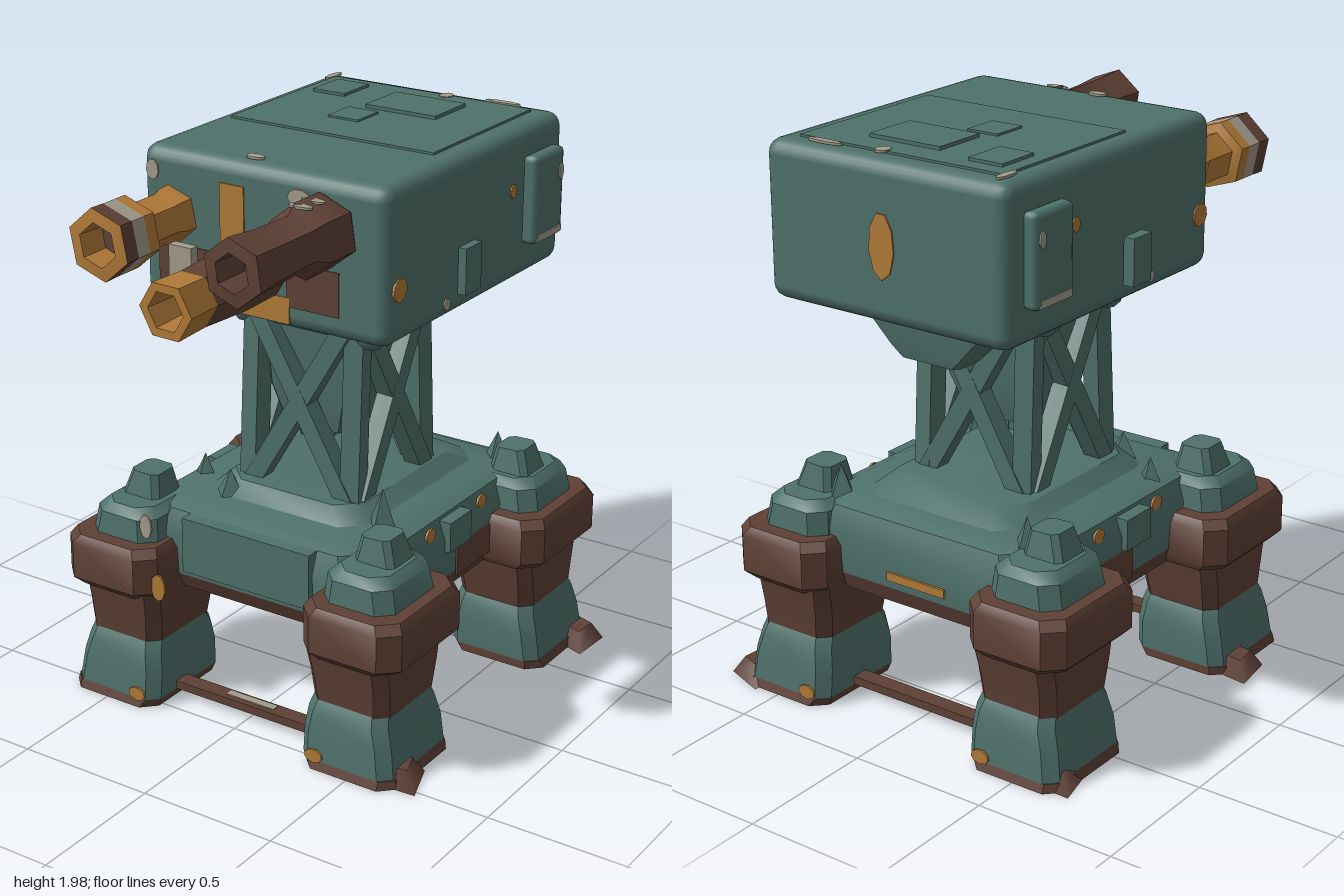
import * as THREE from 'three';
import { toCreasedNormals } from 'three/addons/utils/BufferGeometryUtils.js';
import { RoundedBoxGeometry } from 'three/addons/geometries/RoundedBoxGeometry.js';

const colour = (name, hex) => Object.assign(new THREE.MeshStandardMaterial({ color: hex }), { name });

export function createModel() {
  const root = new THREE.Group();
  root.name = 'walkerTurret';
  const teal = colour('tealPaint', 0x4f716b);
  const brown = colour('rustBrown', 0x5f4136);
  const orange = colour('orangePaint', 0xb27b38);
  const pale = colour('bareMetal', 0xa39c8c);

  const add = (name, geo, mat, parent = root) => {
    const m = new THREE.Mesh(geo, mat);
    m.name = name;
    parent.add(m);
    return m;
  };

  // Stack of chamfered rectangles; each section is [y, x0, x1, z0, z1, chamfer]
  const loft = (name, mat, sections, parent) => {
    const rings = sections.map(([y, x0, x1, z0, z1, c = 0.04]) => [
      [x1, z0 + c], [x1, z1 - c], [x1 - c, z1], [x0 + c, z1],
      [x0, z1 - c], [x0, z0 + c], [x0 + c, z0], [x1 - c, z0],
    ].map(([x, z]) => [x, y, z]));
    const pos = [];
    const tri = (...p) => p.forEach((v) => pos.push(...v));
    for (let i = 0; i < 8; i++) {
      const j = (i + 1) % 8;
      for (let k = 0; k + 1 < rings.length; k++) {
        const a = rings[k], b = rings[k + 1];
        tri(a[i], b[i], b[j]);
        tri(a[i], b[j], a[j]);
      }
      const lo = rings[0], hi = rings[rings.length - 1];
      if (i > 0 && i < 7) {
        tri(lo[0], lo[i], lo[j]);
        tri(hi[0], hi[j], hi[i]);
      }
    }
    const g = new THREE.BufferGeometry();
    g.setAttribute('position', new THREE.Float32BufferAttribute(pos, 3));
    g.computeVertexNormals();
    return add(name, toCreasedNormals(g, 0.6), mat, parent);
  };

  const box = (name, mat, x0, x1, y0, y1, z0, z1, parent) => {
    const m = add(name, new THREE.BoxGeometry(x1 - x0, y1 - y0, z1 - z0), mat, parent);
    m.position.set((x0 + x1) / 2, (y0 + y1) / 2, (z0 + z1) / 2);
    return m;
  };

  // Irregular thin paint chip facing along one axis
  const chip = (name, mat, axis, x, y, z, w, h, parent) => {
    const g = new THREE.CylinderGeometry(0.5, 0.5, 0.008, 9);
    g.scale(w, 1, h);
    if (axis === 'z') g.rotateX(Math.PI / 2);
    if (axis === 'x') g.rotateX(Math.PI / 2).rotateY(Math.PI / 2);
    add(name, g, mat, parent).position.set(x, y, z);
  };

  const beam = (name, a, b, w, parent) => {
    const p = new THREE.Vector3(...a), q = new THREE.Vector3(...b);
    const m = add(name, new THREE.BoxGeometry(w, w, p.distanceTo(q)), teal, parent);
    m.position.copy(p).lerp(q, 0.5);
    m.lookAt(q);
  };

  const group = (name) => {
    const g = new THREE.Group();
    g.name = name;
    root.add(g);
    return g;
  };

  // Four legs: s is the side, f is front (1) or back (-1)
  for (const s of [-1, 1]) for (const f of [-1, 1]) {
    const leg = group((f > 0 ? 'front' : 'back') + (s > 0 ? 'Left' : 'Right') + 'Leg');
    const sec = (y, xi, xo, zi, zo, c) => {
      const xs = [s * xi, s * xo].sort((a, b) => a - b);
      const zs = [f * zi - 0.13, f * zo - 0.13].sort((a, b) => a - b);
      return [y, ...xs, ...zs, c];
    };
    loft('footSole', brown, [sec(0.0, 0.31, 0.67, 0.29, 0.7, 0.05), sec(0.03, 0.3, 0.66, 0.29, 0.69, 0.04)], leg);
    loft('foot', teal, [sec(0.03, 0.3, 0.655, 0.29, 0.69), sec(0.13, 0.3, 0.64, 0.29, 0.68),
      sec(0.2, 0.31, 0.62, 0.3, 0.67), sec(0.24, 0.32, 0.61, 0.32, 0.65)], leg);
    loft('shin', brown, [sec(0.23, 0.32, 0.615, 0.31, 0.65), sec(0.33, 0.31, 0.62, 0.29, 0.66),
      sec(0.43, 0.3, 0.62, 0.27, 0.68)], leg);
    loft('hipBlock', brown, [sec(0.41, 0.32, 0.65, 0.25, 0.68, 0.06), sec(0.44, 0.3, 0.68, 0.23, 0.71, 0.06),
      sec(0.57, 0.3, 0.68, 0.23, 0.71, 0.06), sec(0.6, 0.32, 0.66, 0.25, 0.69, 0.06)], leg);
    loft('shoulderCap', teal, [sec(0.58, 0.34, 0.62, 0.3, 0.64, 0.05), sec(0.68, 0.35, 0.6, 0.31, 0.63, 0.05),
      sec(0.71, 0.38, 0.57, 0.34, 0.6, 0.05)], leg);
    const lug = loft('shoulderLug', teal, [sec(0.68, 0.42, 0.58, 0.36, 0.52, 0.02), sec(0.78, 0.44, 0.55, 0.38, 0.5, 0.02)], leg);
    lug.rotation.z = s * 0.03;
    chip('footChip', orange, 'z', s * 0.37, 0.05, f * 0.695 - 0.13, 0.07, 0.05, leg);
  }
  chip('hipChip', orange, 'z', -0.29, 0.47, 0.53, 0.06, 0.1);
  chip('shoulderChip', pale, 'z', -0.36, 0.67, 0.5, 0.05, 0.09);

  // Torn sole plates sticking out past the feet
  for (const [x, z, turn] of [[-0.66, 0.27, 0], [0.63, 0.45, 0.2], [0.66, -0.74, -0.2], [-0.6, -0.72, 0.1]]) {
    const m = add('solePlate', new THREE.CylinderGeometry(0.07, 0.13, 0.06, 4), brown);
    m.position.set(x, 0.03, z);
    m.scale.x = 0.75;
    m.rotation.y = Math.PI / 4 + turn;
  }

  // Ties between the feet
  for (const z of [0.4, -0.63]) box('footTie', brown, -0.36, 0.36, 0.03, 0.06, z - 0.03, z + 0.03);
  box('tieWear', pale, -0.1, 0.1, 0.058, 0.064, 0.38, 0.41);

  // Chassis
  const chassis = group('chassis');
  loft('chassisUnderside', brown, [[0.41, -0.46, 0.46, -0.68, 0.37, 0.12], [0.47, -0.48, 0.48, -0.7, 0.4, 0.12]], chassis);
  loft('chassisBody', teal, [[0.47, -0.48, 0.48, -0.7, 0.4, 0.12], [0.62, -0.49, 0.49, -0.71, 0.41, 0.12],
    [0.7, -0.46, 0.46, -0.68, 0.38, 0.12], [0.72, -0.41, 0.41, -0.63, 0.33, 0.1]], chassis);
  loft('deck', teal, [[0.71, -0.33, 0.33, -0.6, 0.24, 0.08], [0.77, -0.27, 0.27, -0.5, 0.18, 0.08]], chassis);
  for (const s of [-1, 1]) {
    box('sideRust', brown, s * 0.49 - 0.004, s * 0.49 + 0.004, 0.46, 0.57, -0.42, -0.14, chassis);
    for (const z of [0.02, -0.32]) chip('sideChip', orange, 'x', s * 0.478, 0.67, z, 0.06, 0.05, chassis);
    box('sideLatch', teal, s * 0.47 - 0.04, s * 0.47 + 0.04, 0.58, 0.69, -0.2, -0.06, chassis);
  }
  box('backStripe', orange, -0.14, 0.1, 0.5, 0.53, -0.712, -0.704, chassis);
  box('frontHatch', teal, -0.26, 0.26, 0.5, 0.7, 0.36, 0.43, chassis);
  // Loose armour shards on the deck
  for (const [x, y, z, r, h] of [[0.35, 0.76, 0.12, 0.07, 0.18], [-0.4, 0.73, 0.1, 0.06, 0.12],
    [0.38, 0.74, -0.6, 0.07, 0.14], [-0.38, 0.74, -0.58, 0.06, 0.14], [-0.22, 0.76, 0.2, 0.06, 0.1]]) {
    add('armourShard', toCreasedNormals(new THREE.ConeGeometry(r, h, 4), 0.5), teal, chassis).position.set(x, y, z);
  }

  // Lattice tower
  const tower = group('tower');
  const zc = -0.12, y0 = 0.74, y1 = 1.44;
  loft('towerCore', teal, [[0.96, -0.14, 0.15, -0.26, 0.03], [1.1, -0.18, 0.19, -0.3, 0.06],
    [1.44, -0.2, 0.21, -0.31, 0.08]], tower);
  loft('towerCollar', teal, [[1.34, -0.21, 0.23, -0.33, 0.1], [1.44, -0.27, 0.29, -0.37, 0.15]], tower);
  for (const s of [-1, 1]) {
    for (const f of [-1, 1]) {
      beam('cornerPost', [0.01 + s * 0.205, y0, zc + f * 0.215], [0.01 + s * 0.2, y1, zc + f * 0.18], 0.07, tower);
      const knob = add('topJoint', new THREE.IcosahedronGeometry(0.055, 1), teal, tower);
      knob.position.set(0.01 + s * 0.25, 1.36, zc + f * 0.18);
    }
    // Cross braces on all four faces
    for (const f of [-1, 1]) {
      beam('crossBrace', [0.01 - s * 0.2, y0, zc + f * 0.22], [0.01 + s * 0.21, y1, zc + f * 0.21], 0.065, tower);
      beam('crossBrace', [0.01 + f * 0.22, y0, zc - s * 0.2], [0.01 + f * 0.21, y1, zc + s * 0.2], 0.065, tower);
    }
  }

  // Turret head
  const head = group('head');
  add('headShell', new RoundedBoxGeometry(0.96, 0.53, 1.13, 2, 0.05), teal, head).position.set(0.01, 1.695, -0.235);
  loft('rearBracket', teal, [[1.25, -0.12, 0.12, -0.6, -0.47, 0.02], [1.29, -0.16, 0.16, -0.61, -0.46, 0.02],
    [1.45, -0.32, 0.31, -0.63, -0.4, 0.03]], head);
  box('roofPlate', teal, -0.4, 0.4, 1.955, 1.968, -0.72, -0.08, head);
  box('roofHatch', teal, -0.08, 0.2, 1.96, 1.98, -0.62, -0.42, head);
  box('roofVent', teal, -0.35, -0.22, 1.96, 1.978, -0.66, -0.5, head);
  box('roofCover', teal, -0.12, 0.0, 1.96, 1.975, -0.38, -0.25, head);
  for (const s of [-1, 1]) {
    const x = 0.01 + s * 0.5;
    add('sidePanel', new RoundedBoxGeometry(0.06, 0.31, 0.2, 1, 0.02), teal, head).position.set(x, 1.71, -0.62);
    box('sidePanelWear', pale, x + s * 0.03 - 0.004, x + s * 0.03 + 0.004, 1.565, 1.59, -0.7, -0.54, head);
    chip('sideWear', pale, 'x', x + s * 0.03, 1.78, -0.69, 0.03, 0.06, head);
    chip('sideChip', orange, 'x', x - s * 0.019, 1.62, 0.26, 0.08, 0.08, head);
    chip('sideChip', orange, 'x', x - s * 0.019, 1.76, -0.45, 0.04, 0.05, head);
    chip('sideWear', pale, 'x', x - s * 0.019, 1.485, -0.03, 0.04, 0.04, head);
    box('sideRib', teal, x - 0.03, x + 0.01, 1.5, 1.66, -0.2, -0.1, head);
  }
  chip('backSpot', orange, 'z', 0.01, 1.69, -0.801, 0.1, 0.22, head);
  for (const [x, z, w, d] of [[0.07, -0.71, 0.05, 0.06], [0.13, -0.44, 0.03, 0.03], [-0.05, 0.27, 0.07, 0.04],
    [0.28, -0.74, 0.14, 0.03], [-0.41, -0.72, 0.03, 0.1]]) {
    chip('roofWear', pale, 'y', x, 1.967, z, w, d, head);
  }
  // Painted front panels
  box('frontOrange', orange, -0.15, -0.055, 1.64, 1.88, 0.326, 0.334, head);
  box('frontOrangeLow', orange, -0.09, 0.12, 1.45, 1.54, 0.326, 0.334, head);
  box('frontRust', brown, -0.4, -0.16, 1.51, 1.64, 0.326, 0.334, head);
  box('frontRust', brown, 0.11, 0.31, 1.51, 1.66, 0.326, 0.334, head);
  chip('frontWear', pale, 'z', 0.16, 1.88, 0.331, 0.09, 0.06, head);
  chip('frontWear', pale, 'z', -0.42, 1.88, 0.331, 0.05, 0.07, head);

  // Barrels: bands of a six-sided lathe, points are [radius, z]
  const barrel = (name, x, y, turn, bands) => {
    const g = group(name);
    g.position.set(x, y, 0);
    for (const [part, mat, pts] of bands) {
      const geo = new THREE.LatheGeometry(pts.map(([r, z]) => new THREE.Vector2(r, z)), 6);
      geo.rotateY(turn).rotateX(Math.PI / 2);
      add(part, toCreasedNormals(geo, 0.6), mat, g);
    }
  };
  barrel('rightBarrel', -0.34, 1.74, 0.2, [
    ['barrelBody', orange, [[0.1, 0.3], [0.095, 0.38], [0.085, 0.4], [0.085, 0.54], [0.12, 0.55], [0.12, 0.6]]],
    ['barrelBand', pale, [[0.12, 0.6], [0.12, 0.66]]],
    ['barrelTip', brown, [[0.12, 0.66], [0.122, 0.72]]],
    ['muzzle', orange, [[0.122, 0.72], [0.075, 0.725], [0.07, 0.62]]],
    ['bore', brown, [[0.07, 0.62], [0, 0.62]]],
  ]);
  barrel('middleBarrel', 0.02, 1.63, 0.5, [
    ['barrelBody', brown, [[0.1, 0.3], [0.105, 0.5], [0.095, 0.71]]],
    ['muzzle', orange, [[0.095, 0.71], [0.1, 0.85], [0.068, 0.85], [0.062, 0.72]]],
    ['bore', brown, [[0.062, 0.72], [0, 0.72]]],
  ]);
  barrel('leftBarrel', 0.26, 1.795, 0.15, [
    ['barrelBody', brown, [[0.1, 0.3], [0.125, 0.34], [0.125, 0.47], [0.095, 0.52], [0.1, 0.7], [0.112, 0.83],
      [0.065, 0.835], [0.06, 0.7], [0, 0.7]]],
  ]);
  for (const z of [0.4, 0.47]) chip('barrelWear', pale, 'y', 0.26, 1.908, z, 0.09, 0.035);
  box('barrelBracket', pale, -0.24, -0.15, 1.5, 1.7, 0.455, 0.49);
  box('bracketArm', brown, -0.24, 0.0, 1.56, 1.6, 0.33, 0.46);

  return root;
}
